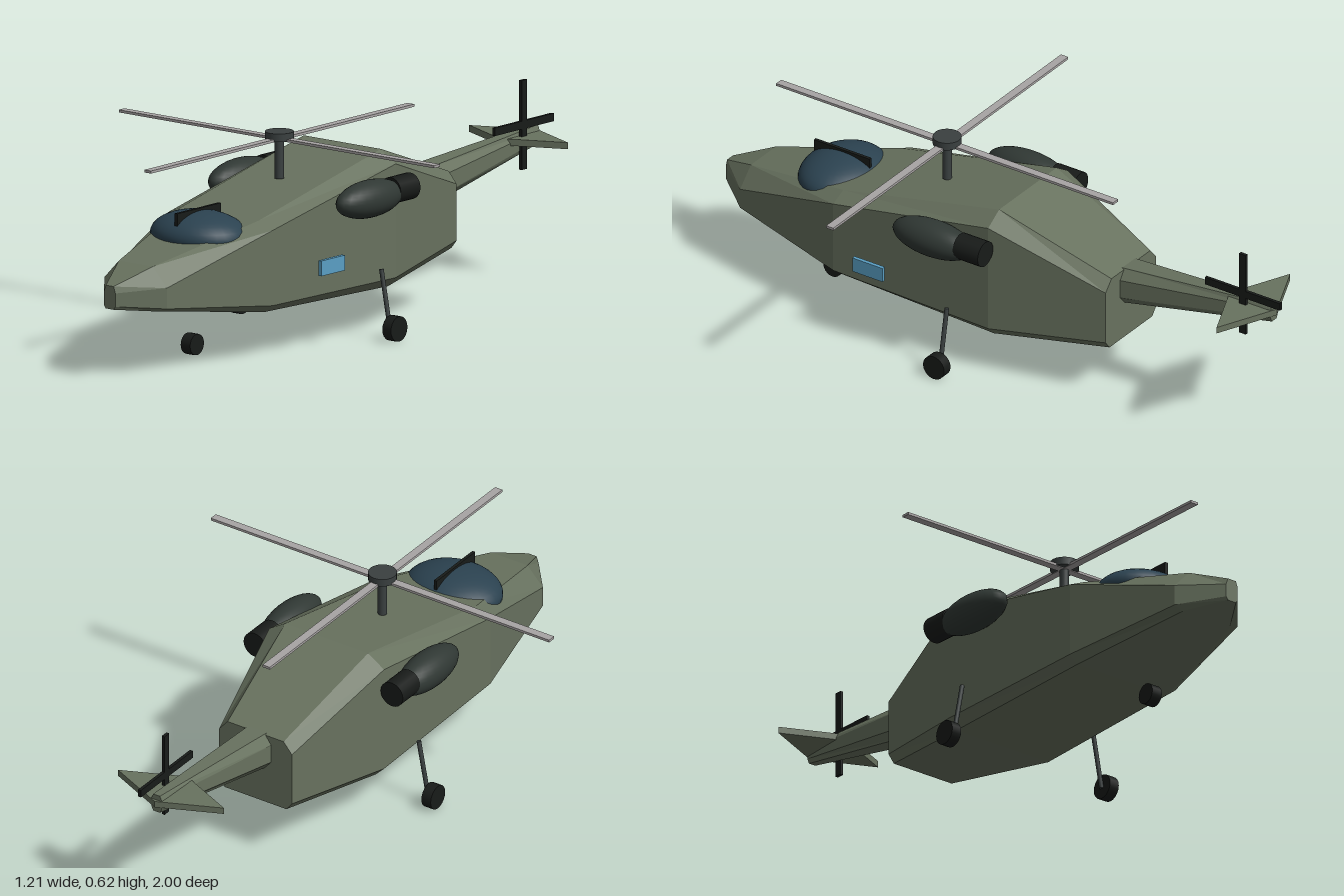
import * as THREE from 'three';

const mat = (color, flatShading = false) => new THREE.MeshStandardMaterial({ color, flatShading });
const paint = mat(0x68725f, true);
const engineMat = mat(0x303834);
const metal = mat(0x3a4040);
const black = mat(0x181b19);
const bladeMat = mat(0xa8a4a4);
const glass = mat(0x2b4250);
const blue = mat(0x5a9fc4);

// Eight-sided hull through stations:
// [z, halfWidth, topHalf, bottomHalf, bottom, sideLow, sideHigh, top]
function loft(stations) {
  const pos = [], idx = [], n = 8;
  for (const [z, w, t, b, bot, lo, hi, top] of stations) {
    for (const [x, y] of [[w, lo], [w, hi], [t, top], [-t, top], [-w, hi], [-w, lo], [-b, bot], [b, bot]]) {
      pos.push(x, y, z);
    }
  }
  const last = (stations.length - 1) * n;
  for (let r = 0; r < last; r += n) {
    for (let j = 0; j < n; j++) {
      const a = r + j, b = r + (j + 1) % n;
      idx.push(a, a + n, b, b, a + n, b + n);
    }
  }
  for (let j = 1; j < n - 1; j++) {
    idx.push(0, j, j + 1, last, last + j + 1, last + j);
  }
  const g = new THREE.BufferGeometry();
  g.setAttribute('position', new THREE.Float32BufferAttribute(pos, 3));
  g.setIndex(idx);
  g.computeVertexNormals();
  return g;
}

export function createModel() {
  const model = new THREE.Group();
  model.name = 'helicopter';

  const add = (name, geometry, material, x = 0, y = 0, z = 0, parent = model) => {
    const m = new THREE.Mesh(geometry, material);
    m.name = name;
    m.position.set(x, y, z);
    parent.add(m);
    return m;
  };
  const box = (x, y, z) => new THREE.BoxGeometry(x, y, z);
  const cyl = (r, h, sides = 20) => new THREE.CylinderGeometry(r, r, h, sides);

  // Fuselage and tail boom
  add('fuselage', loft([
    [1.0, 0.022, 0.015, 0.015, 0.215, 0.225, 0.265, 0.285],
    [0.88, 0.12, 0.065, 0.09, 0.2, 0.212, 0.275, 0.332],
    [0.49, 0.2, 0.148, 0.17, 0.145, 0.168, 0.395, 0.418],
    [-0.07, 0.205, 0.148, 0.175, 0.13, 0.16, 0.503, 0.54],
    [-0.44, 0.13, 0.1, 0.11, 0.175, 0.2, 0.37, 0.405],
  ]), paint);
  add('tailBoom', loft([
    [-0.42, 0.057, 0.034, 0.034, 0.288, 0.315, 0.375, 0.407],
    [-0.955, 0.018, 0.012, 0.012, 0.39, 0.403, 0.432, 0.447],
  ]), paint);

  // Diamond-shaped tail plane
  add('tailPlane', cyl(1, 0.02, 4), paint, 0, 0.42, -0.88).scale.set(0.19, 1, 0.085);

  // Canopy bubble with centre frame
  add('canopy', new THREE.SphereGeometry(1, 32, 20), glass, 0, 0.375, 0.59).scale.set(0.155, 0.07, 0.127);
  add('canopyFrame', box(0.01, 0.04, 0.2), black, 0, 0.432, 0.595);

  // Main rotor
  const rotor = new THREE.Group();
  rotor.name = 'mainRotor';
  rotor.position.set(0, 0.6, 0.22);
  model.add(rotor);
  add('mast', cyl(0.014, 0.13), metal, 0, -0.055, 0, rotor);
  add('hub', cyl(0.043, 0.024), metal, 0, 0.01, 0, rotor);
  add('bladesAcross', box(1.21, 0.008, 0.026), bladeMat, 0, 0, 0, rotor);
  add('bladesAlong', box(0.026, 0.008, 1.21), bladeMat, 0, 0, 0, rotor);

  // Tail rotor
  const tailRotor = new THREE.Group();
  tailRotor.name = 'tailRotor';
  tailRotor.position.set(0.03, 0.465, -0.865);
  model.add(tailRotor);
  add('bladesUpright', box(0.01, 0.27, 0.024), black, 0, 0, 0, tailRotor);
  add('bladesLevel', box(0.01, 0.024, 0.27), black, 0, 0, 0, tailRotor);

  // Engines and main landing gear on both sides
  for (const side of [1, -1]) {
    add('engine', new THREE.SphereGeometry(1, 24, 18), engineMat, side * 0.245, 0.432, 0.1)
      .scale.set(0.056, 0.056, 0.14);
    add('exhaust', cyl(0.04, 0.09), black, side * 0.245, 0.44, -0.043).rotation.x = Math.PI / 2;
    const strut = add('strut', cyl(0.007, 0.18, 12), metal, side * 0.265, 0.123, 0.048);
    strut.rotation.z = side * Math.atan2(0.033, 0.175);
    add('mainWheel', cyl(0.038, 0.033), black, side * 0.3, 0.04, 0.048).rotation.z = Math.PI / 2;
  }
  add('noseWheel', cyl(0.032, 0.036), black, 0, 0.047, 0.62).rotation.z = Math.PI / 2;

  // Side panel
  add('sidePanel', box(0.012, 0.046, 0.108), blue, 0.276, 0.27, 0.31);

  return model;
}
